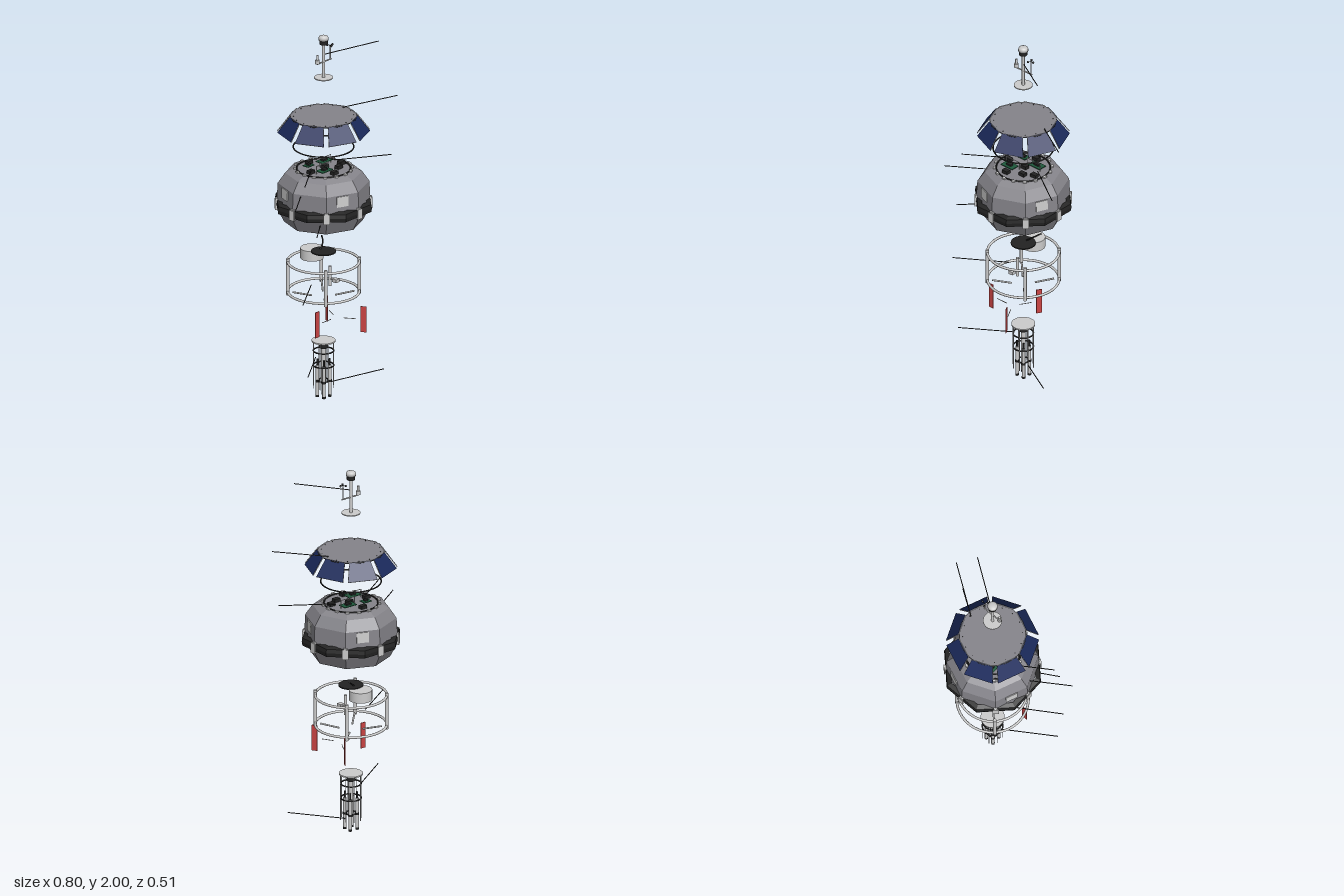
import * as THREE from 'three';

const mat = (color, extra = {}) => new THREE.MeshStandardMaterial({ color, ...extra });
const M = {
  grey: mat(0xcccccc),
  hull: mat(0x85848a, { flatShading: true }),
  lid: mat(0x85848a),
  black: mat(0x222222),
  rubber: mat(0x242424, { flatShading: true }),
  navy: mat(0x1b2a5c),
  red: mat(0xcc4444),
  green: mat(0x1f5a3c),
};

function add(parent, name, geo, material, x = 0, y = 0, z = 0) {
  const m = new THREE.Mesh(geo, material);
  m.name = name;
  m.position.set(x, y, z);
  parent.add(m);
  return m;
}
const group = (parent, name) => {
  const g = new THREE.Group();
  g.name = name;
  parent.add(g);
  return g;
};
// upright cylinder from y0 to y1
const post = (p, name, r, y0, y1, material, x = 0, z = 0, sides = 16) =>
  add(p, name, new THREE.CylinderGeometry(r, r, y1 - y0, sides), material, x, (y0 + y1) / 2, z);
const box = (p, name, w, h, d, material, x, y, z) =>
  add(p, name, new THREE.BoxGeometry(w, h, d), material, x, y, z);
// round rod between two points
function rod(p, name, a, b, r, material) {
  const A = new THREE.Vector3(...a), B = new THREE.Vector3(...b);
  const m = add(p, name, new THREE.CylinderGeometry(r, r, A.distanceTo(B), 8), material);
  m.position.copy(A).add(B).multiplyScalar(0.5);
  m.quaternion.setFromUnitVectors(new THREE.Vector3(0, 1, 0), B.sub(A).normalize());
  return m;
}
// horizontal ring
function ring(p, name, R, r, y, material) {
  const m = add(p, name, new THREE.TorusGeometry(R, r, 8, 64), material, 0, y, 0);
  m.rotation.x = Math.PI / 2;
  return m;
}
// n groups turned evenly around the vertical axis; +z points outward in each
function around(p, name, n, start, build) {
  for (let i = 0; i < n; i++) {
    const g = group(p, name);
    g.rotation.y = start + (i * Math.PI * 2) / n;
    build(g, i);
  }
}
const lathe = (pts, n, phi = 0) =>
  new THREE.LatheGeometry(pts.map(([r, y]) => new THREE.Vector2(r, y)), n, phi);

function buildMast(root) {
  const g = group(root, 'mast');
  post(g, 'mastBase', 0.049, 1.765, 1.77, M.grey, 0, 0, 48);
  post(g, 'mastPole', 0.008, 1.77, 1.955, M.grey);
  post(g, 'lampHousing', 0.022, 1.953, 1.978, M.black, 0, 0, 24);
  add(g, 'lampLens', lathe([[0, 1.975], [0.026, 1.975], [0.026, 1.988], [0.022, 1.996], [0.012, 2], [0, 2]], 24), M.grey);
  rod(g, 'crossArm', [-0.05, 1.855, 0], [0.06, 1.855, 0], 0.004, M.grey);
  post(g, 'sensor', 0.012, 1.857, 1.878, M.grey, -0.048);
  post(g, 'sensorTop', 0.006, 1.878, 1.905, M.grey, -0.048);
  post(g, 'windPole', 0.003, 1.855, 1.93, M.grey, 0.053);
  const cups = group(g, 'windCups');
  cups.position.set(0.053, 1.932, 0);
  around(cups, 'cupArm', 3, Math.PI / 2, (a) => {
    rod(a, 'arm', [0, 0, 0], [0, 0, 0.015], 0.0015, M.black);
    add(a, 'cup', new THREE.SphereGeometry(0.006, 12, 8), M.black, 0, 0, 0.016);
  });
}

function buildSolarCover(root) {
  const g = group(root, 'solarCover');
  post(g, 'lid', 0.172, 1.55, 1.556, M.lid, 0, 0, 48);
  ring(g, 'lidRim', 0.171, 0.003, 1.553, M.black);
  around(g, 'lidBolt', 16, 0, (b) => post(b, 'bolt', 0.0025, 1.555, 1.558, M.black, 0, 0.155, 8));
  const trapezoid = (w0, w1, h) => new THREE.Shape(
    [[-w0, 0], [w0, 0], [w1, h], [-w1, h]].map(([x, y]) => new THREE.Vector2(x, y)));
  const slab = (w0, w1, h, depth) =>
    new THREE.ExtrudeGeometry(trapezoid(w0, w1, h), { depth, bevelEnabled: false });
  around(g, 'solarPanel', 8, Math.PI / 8, (p) => {
    const t = group(p, 'panel');
    t.position.set(0, 1.47, 0.224);
    t.rotation.x = -0.61;
    add(t, 'frame', slab(0.08, 0.057, 0.104, 0.004), M.grey);
    add(t, 'cells', slab(0.079, 0.056, 0.103, 0.002), M.navy, 0, 0.0005, 0.003);
  });
}

function buildHull(root) {
  const g = group(root, 'hull');
  add(g, 'hullShell', lathe([[0, 0.975], [0.205, 0.975], [0.243, 1.05], [0.243, 1.1], [0.238, 1.19],
    [0.2, 1.245], [0.162, 1.264], [0, 1.264]], 8).toNonIndexed(), M.hull);
  add(g, 'fenderBand', lathe([[0.235, 1.045], [0.261, 1.054], [0.265, 1.075], [0.261, 1.096], [0.235, 1.105]],
    8, Math.PI / 8).toNonIndexed(), M.rubber);
  around(g, 'fenderStrap', 8, 0, (s) => {
    box(s, 'strap', 0.022, 0.062, 0.02, M.grey, 0, 1.075, 0.239);
    box(s, 'strapPlate', 0.034, 0.055, 0.004, M.grey, 0, 1.073, 0.251);
  });
  // hatches on every second face
  around(g, 'hatch', 4, -Math.PI / 8, (h) => {
    const m = box(h, 'hatchPlate', 0.066, 0.056, 0.008, M.grey, 0, 1.156, 0.2225);
    m.rotation.x = -0.05;
  });
  ring(g, 'deckSeal', 0.14, 0.004, 1.266, M.black);
  around(g, 'deckClamp', 16, 0, (c) => box(c, 'clamp', 0.018, 0.008, 0.012, M.grey, 0, 1.268, 0.15));
}

function buildElectronics(root) {
  const g = group(root, 'electronics');
  for (const [x, z, w, d] of [[-0.05, 0.05, 0.08, 0.05], [0.055, -0.045, 0.08, 0.05], [-0.05, -0.06, 0.05, 0.04]]) {
    box(g, 'circuitBoard', w, 0.004, d, M.green, x, 1.28, z);
    box(g, 'chip', w * 0.4, 0.01, d * 0.4, M.black, x, 1.286, z);
  }
  for (const [x, z] of [[0.05, 0.06], [0.105, 0.03], [-0.03, 0.1], [0, -0.1], [-0.1, 0], [0.01, 0]])
    box(g, 'module', 0.036, 0.018, 0.026, M.black, x, 1.274, z);
  // wire frames
  for (const [x0, x1, z] of [[-0.09, 0.0, 0.03], [0.0, 0.09, -0.03]]) {
    rod(g, 'wireFrame', [x0, 1.265, z], [x0, 1.308, z], 0.002, M.grey);
    rod(g, 'wireFrame', [x1, 1.265, z], [x1, 1.308, z], 0.002, M.grey);
    rod(g, 'wireFrame', [x0, 1.308, z], [x1, 1.308, z], 0.002, M.grey);
  }
}

function buildCage(root) {
  const g = group(root, 'cage');
  for (const y of [0.585, 0.75]) ring(g, 'cageRing', 0.186, 0.007, y, M.grey);
  around(g, 'cageCorner', 4, Math.PI / 4, (c) => {
    post(c, 'cagePost', 0.009, 0.568, 0.768, M.grey, 0, 0.186);
    rod(c, 'cageSpoke', [0, 0.562, 0.06], [0, 0.582, 0.16], 0.005, M.grey);
  });
  post(g, 'drum', 0.061, 0.75, 0.805, M.grey, 0, -0.08, 40);
  post(g, 'drumPlate', 0.065, 0.802, 0.808, M.black, 0, 0, 40);
  const path = new THREE.CatmullRomCurve3([[0, 0.808, -0.025], [0.02, 0.825, -0.028], [0.045, 0.842, -0.045],
    [0.065, 0.856, -0.07]].map((p) => new THREE.Vector3(...p)));
  add(g, 'cable', new THREE.TubeGeometry(path, 20, 0.004, 8), M.black);
  post(g, 'probeTube', 0.008, 0.625, 0.735, M.grey, 0, 0.045);
  rod(g, 'probeBracket', [0, 0.665, 0.045], [0, 0.665, 0.085], 0.004, M.grey);
  box(g, 'probeBox', 0.026, 0.018, 0.028, M.grey, 0, 0.665, 0.085);
}

function buildFins(root) {
  const g = group(root, 'fins');
  g.position.z = 0.085;
  around(g, 'fin', 3, -Math.PI / 2, (f) => {
    box(f, 'finPlate', 0.004, 0.142, 0.03, M.red, 0, 0.46, 0.146);
    rod(f, 'finRod', [0, 0.46, 0.04], [0, 0.46, 0.105], 0.002, M.grey);
  });
}

function buildProbe(root) {
  const g = group(root, 'waterProbe');
  post(g, 'probeFlange', 0.062, 0.307, 0.314, M.grey, 0, 0, 40);
  post(g, 'connector', 0.024, 0.272, 0.307, M.black, 0, 0, 24);
  for (const y of [0.255, 0.175]) ring(g, 'guardRing', 0.053, 0.004, y, M.black);
  ring(g, 'innerRing', 0.03, 0.004, 0.09, M.black);
  around(g, 'guardRod', 8, Math.PI / 8, (r) => post(r, 'rod', 0.0022, 0.055, 0.308, M.grey, 0, 0.056, 8));
  around(g, 'sensorTube', 4, Math.PI / 4, (t, i) => {
    post(t, 'tube', 0.009, 0.008, 0.175, M.grey, 0, 0.032);
    post(t, 'tubeTip', 0.0095, 0, 0.012, M.black, 0, 0.032);
    post(t, 'tubeCollar', 0.011, 0.082, 0.094, M.black, 0, 0.032);
    post(t, 'tubeNeck', 0.005, 0.175, 0.21, M.black, 0, 0.032);
  });
  post(g, 'centreTube', 0.012, 0.07, 0.275, M.grey);
}

// thin pointer lines reaching out from each section
function buildPointers(root) {
  const g = group(root, 'pointers');
  const lines = [
    [[0.01, 1.895, 0], [0.254, 1.94, 0.163]],
    [[0.155, 1.56, 0], [0.4, 1.597, 0.163]],
    [[0.107, 1.283, 0], [0.355, 1.283, 0.163]],
    [[-0.09, 1.283, 0], [-0.298, 1.283, 0.14]],
    [[-0.21, 1.18, 0.035], [-0.4, 1.18, 0.163]],
    [[-0.165, 1.032, 0.13], [-0.278, 1.012, 0.205]],
    [[-0.09, 0.645, 0], [-0.34, 0.645, 0.163]],
    [[-0.055, 0.235, 0], [-0.3, 0.235, 0.163]],
    [[0.045, 0.068, 0], [0.295, 0.112, 0.163]],
  ];
  for (const [a, b] of lines) rod(g, 'pointer', a, b, 0.0025, M.black);
}

export function createModel() {
  const root = new THREE.Group();
  root.name = 'explodedBuoy';
  const buoy = group(root, 'buoy');
  buoy.position.x = 0.007;
  buildMast(buoy);
  buildSolarCover(buoy);
  const seal = ring(buoy, 'sealRing', 0.157, 0.004, 1.385, M.black);
  seal.scale.z = 0.9;
  buildHull(buoy);
  buildElectronics(buoy);
  buildCage(buoy);
  buildFins(buoy);
  buildProbe(buoy);
  buildPointers(root);
  return root;
}
